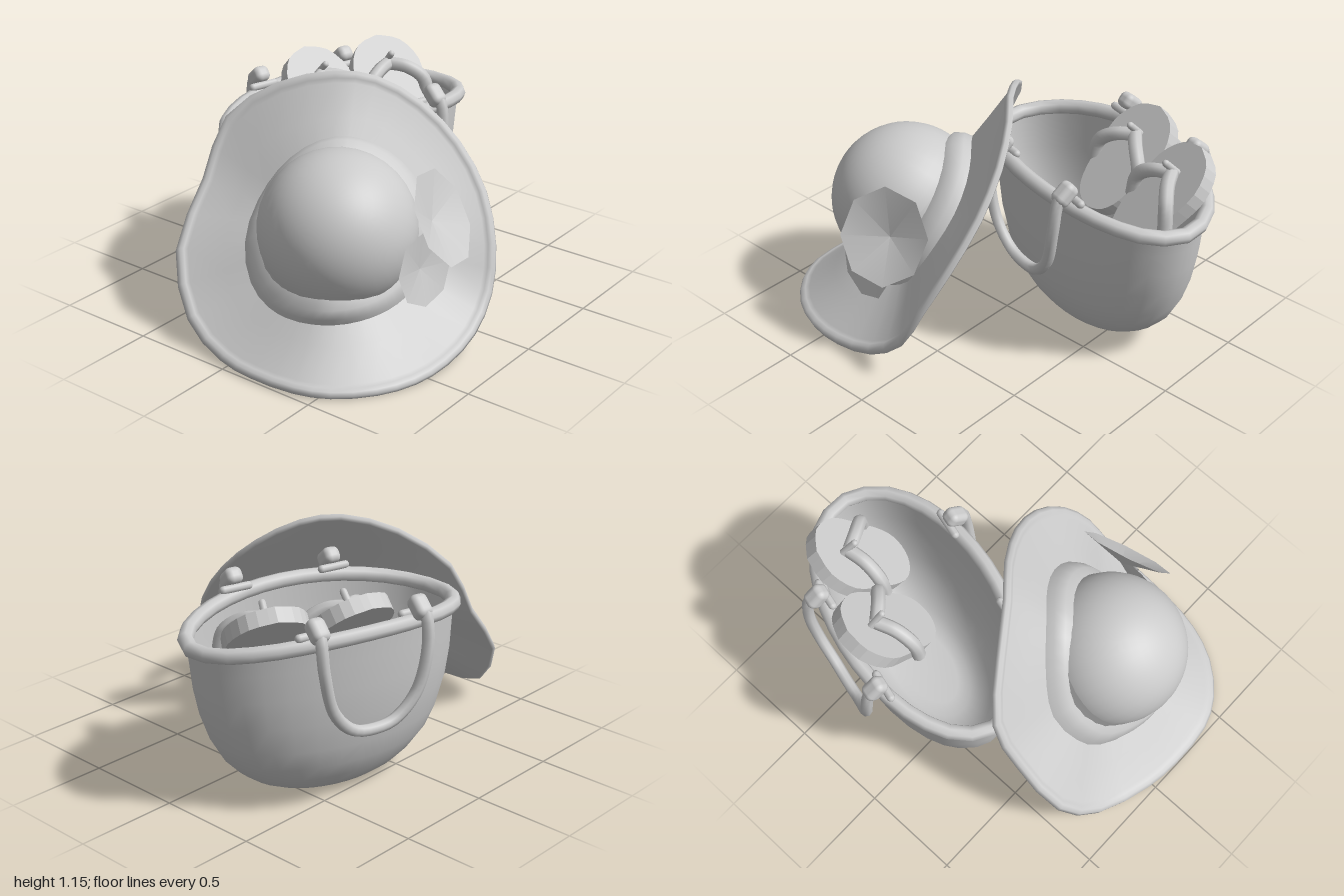
import * as THREE from 'three';
import { RoundedBoxGeometry } from 'three/addons/geometries/RoundedBoxGeometry.js';

const V = (x, y, z) => new THREE.Vector3(x, y, z);
const grey = new THREE.MeshStandardMaterial({ color: 0xcccccc, side: THREE.DoubleSide });

function add(parent, name, geometry) {
  const mesh = new THREE.Mesh(geometry, grey);
  mesh.name = name;
  parent.add(mesh);
  return mesh;
}

function tube(points, radius, segments, closed = false, sides = 8) {
  return new THREE.TubeGeometry(new THREE.CatmullRomCurve3(points, closed), segments, radius, sides, closed);
}

// Skin over a list of closed rings with equal point counts
function loft(rings) {
  const n = rings[0].length, index = [];
  for (let r = 0; r < rings.length - 1; r++) {
    for (let i = 0; i < n; i++) {
      const a = r * n + i, b = r * n + (i + 1) % n;
      index.push(a, a + n, b, b, a + n, b + n);
    }
  }
  const g = new THREE.BufferGeometry().setFromPoints(rings.flat());
  g.setIndex(index);
  g.computeVertexNormals();
  return g;
}

// Oval bag with arched rim and two hanging handles
function buildBag() {
  const bag = new THREE.Group();
  bag.name = 'bag';
  const A = 0.675, B = 0.38;
  const levels = [[0.025, 0.001], [0.025, 0.33], [0.04, 0.46], [0.075, 0.57], [0.13, 0.68], [0.21, 0.79],
    [0.31, 0.87], [0.45, 0.935], [0.6, 0.97], [0.74, 0.985], [0.86, 1]];
  const ring = ([y, r]) => Array.from({ length: 32 }, (_, i) => {
    const t = i / 32 * Math.PI * 2;
    const sag = 0.065 * Math.cos(t) ** 2 * Math.max(0, (y - 0.4) / 0.46);
    return V(A * r * Math.cos(t) - 0.02 * (1 - y / 0.86), y - sag, B * r * Math.sin(t));
  });
  add(bag, 'bagBody', loft(levels.map(ring)));
  const rim = ring([0.86, 1]).filter((_, i) => i % 2 === 0);
  add(bag, 'bagRim', tube(rim, 0.037, 32, true));

  for (const s of [1, -1]) {
    const half = [[0.265, 0.95, 0.365], [0.272, 0.905, 0.415], [0.268, 0.75, 0.44], [0.215, 0.55, 0.435], [0.11, 0.44, 0.425]];
    const path = [
      ...half.map(([x, y, z]) => V(-x, y, z * s)),
      V(0, 0.42, 0.425 * s),
      ...half.slice().reverse().map(([x, y, z]) => V(x, y, z * s)),
    ];
    add(bag, 'handle', tube(path, 0.028, 40));
    for (const m of [1, -1]) {
      const clip = add(bag, 'handleClip', new RoundedBoxGeometry(0.085, 0.08, 0.115, 3, 0.03));
      clip.position.set(0.265 * m, 0.925, 0.378 * s);
      clip.rotation.x = 0.7 * s;
      const peg = add(bag, 'handlePeg', new THREE.CapsuleGeometry(0.02, 0.13, 4, 8));
      peg.position.set(0.265 * m, 0.89, 0.335 * s);
      peg.rotation.z = Math.PI / 2;
    }
  }
  bag.position.set(0.305, 0, -0.31);
  bag.rotation.y = -0.262;
  return bag;
}

// Flip-flop: toe end around the origin, sole in the xy plane, straps on +z
function buildSandal() {
  const sandal = new THREE.Group();
  sandal.name = 'sandal';
  const right = [[0.12, 0.135], [0.19, 0.01], [0.175, -0.15], [0.145, -0.3], [0.09, -0.38]];
  const outline = [
    new THREE.Vector2(0, 0.18),
    ...right.map(([x, y]) => new THREE.Vector2(x, y)),
    new THREE.Vector2(0, -0.41),
    ...right.slice().reverse().map(([x, y]) => new THREE.Vector2(-x, y)),
  ];
  const curve = new THREE.SplineCurve([...outline, outline[0]]);
  const shape = new THREE.Shape(curve.getPoints(36));
  const sole = add(sandal, 'sole', new THREE.ExtrudeGeometry(shape, { depth: 0.075, bevelEnabled: false }));
  sole.position.z = -0.07;
  for (const m of [1, -1]) {
    add(sandal, 'strap', tube([V(0, 0.0, 0.03), V(0.08 * m, -0.05, 0.06), V(0.155 * m, -0.12, 0.045), V(0.18 * m, -0.21, -0.03)], 0.035, 14));
  }
  const post = add(sandal, 'toePost', new THREE.CapsuleGeometry(0.017, 0.09, 4, 8));
  post.position.set(0, 0.02, 0.05);
  post.rotation.x = Math.PI / 2;
  return sandal;
}

// Sun hat: saddle-shaped brim, domed crown, band and flower
function buildHat() {
  const hat = new THREE.Group();
  hat.name = 'hat';
  const edge = [
    [-0.04, 1.14, -0.1], [0.09, 1.11, 0.05], [0.2, 0.99, 0.24], [0.245, 0.82, 0.43], [0.22, 0.62, 0.6],
    [0.14, 0.4, 0.715], [0.04, 0.2, 0.765], [-0.14, 0.075, 0.795], [-0.37, 0.02, 0.8], [-0.57, 0.004, 0.77],
    [-0.75, 0.003, 0.69], [-0.9, 0.004, 0.545], [-0.97, 0.008, 0.39], [-0.985, 0.008, 0.15], [-0.965, 0.02, -0.04],
    [-0.88, 0.1, -0.32], [-0.76, 0.36, -0.495], [-0.52, 0.64, -0.53], [-0.36, 0.91, -0.515], [-0.2, 1.08, -0.32],
  ].map(p => V(...p));
  const centre = V(-0.405, 0.525, 0.2);
  const axis = V(-0.59, 0.68, 0.445).normalize();
  const rim = new THREE.CatmullRomCurve3(edge, true).getPoints(40).slice(0, 40).map(p => p.sub(centre));

  // Brim: underside fans from the centre, rolls over the edge, returns on top
  const brimRing = ([t, h]) => rim.map(p => centre.clone().addScaledVector(p, t).addScaledVector(axis, h));
  add(hat, 'brim', loft([[0.002, 0], [0.25, 0], [0.5, 0], [0.75, 0], [0.98, 0], [1, 0.01], [0.993, 0.03],
    [0.97, 0.037], [0.945, 0.03], [0.92, 0.02], [0.7, 0.016], [0.4, 0.016]].map(brimRing)));

  // Band, slightly oval, and crown wall rise from the brim
  const long = V(0.63, 0.46, 0.05).projectOnPlane(axis).normalize();
  const bandRing = ([r, h]) => rim.map(p => {
    const radial = p.clone().projectOnPlane(axis);
    const oval = 1 + 0.1 * (radial.dot(long) / radial.length()) ** 2;
    return centre.clone().addScaledVector(p, r * oval / radial.length()).addScaledVector(axis, h);
  });
  add(hat, 'band', loft([[0.425, 0.005], [0.41, 0.055], [0.38, 0.1], [0.32, 0.115]].map(bandRing)));
  const crownFoot = rim.map(p => centre.clone().addScaledVector(axis, 0.08)
    .addScaledVector(p.clone().projectOnPlane(axis).normalize(), 0.368));
  add(hat, 'crownWall', loft([bandRing([0.35, 0.01]), crownFoot]));
  const crown = add(hat, 'crown', new THREE.SphereGeometry(0.37, 32, 14, 0, Math.PI * 2, 0, Math.PI / 2));
  crown.position.copy(centre).addScaledVector(axis, 0.075);
  crown.quaternion.setFromUnitVectors(V(0, 1, 0), axis);

  // Flower: shallow eight-sided cups and a thin stamen
  const cup = (name, radius, depth, pos, facing) => {
    const petal = add(hat, name, new THREE.ConeGeometry(radius, depth, 8, 1, true));
    petal.position.copy(pos);
    petal.quaternion.setFromUnitVectors(V(0, -1, 0), facing.normalize());
  };
  cup('flower', 0.235, 0.06, V(-0.2, 0.635, 0.61), V(0.2, 0.48, 0.87));
  cup('flowerLeaf', 0.175, 0.03, V(-0.325, 0.435, 0.62), V(-0.1, 0.15, 1));
  add(hat, 'stamen', tube([V(-0.28, 0.59, 0.62), V(-0.23, 0.555, 0.64), V(-0.18, 0.52, 0.66)], 0.008, 4, false, 5));
  return hat;
}

export function createModel() {
  const model = new THREE.Group();
  model.name = 'beachSet';
  model.add(buildBag(), buildHat());
  for (const [x, z, yaw] of [[0.37, -0.53, -0.25], [0.72, -0.36, -0.48]]) {
    const sandal = buildSandal();
    sandal.rotation.set(-Math.PI / 4, yaw, 0, 'YXZ');
    sandal.position.set(x, 0.905, z);
    model.add(sandal);
  }
  return model;
}
